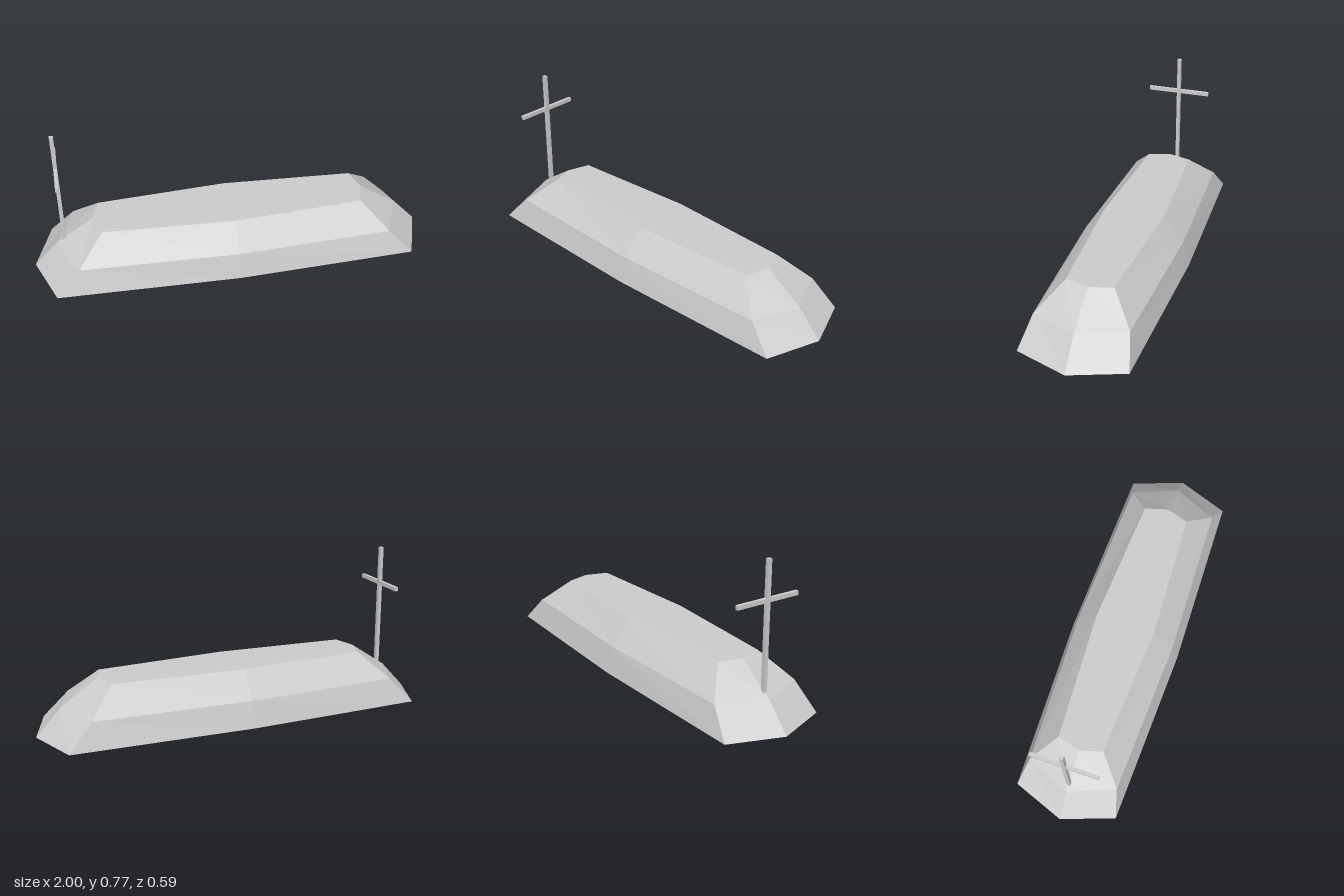
import * as THREE from 'three';

// One octagonal outline: pointed ends, square-ish shoulders, slightly bowed sides
function ring(y, endX, shoulderX, shoulderZ, midZ) {
  return [
    [endX, 0], [shoulderX, shoulderZ], [0, midZ], [-shoulderX, shoulderZ],
    [-endX, 0], [-shoulderX, -shoulderZ], [0, -midZ], [shoulderX, -shoulderZ],
  ].map(([x, z]) => [x, y, z]);
}

// Skin stacked rings into a closed faceted solid
function loft(rings) {
  const pos = [];
  const tri = (a, b, c) => pos.push(...a, ...b, ...c);
  const n = rings[0].length;
  for (let r = 0; r < rings.length - 1; r++) {
    const lo = rings[r], hi = rings[r + 1];
    for (let i = 0; i < n; i++) {
      const j = (i + 1) % n;
      tri(lo[i], hi[i], hi[j]);
      tri(lo[i], hi[j], lo[j]);
    }
  }
  const bottom = rings[0], top = rings[rings.length - 1];
  for (let i = 1; i < n - 1; i++) {
    tri(bottom[0], bottom[i], bottom[i + 1]);
    tri(top[0], top[i + 1], top[i]);
  }
  const geo = new THREE.BufferGeometry();
  geo.setAttribute('position', new THREE.Float32BufferAttribute(pos, 3));
  geo.computeVertexNormals();
  return geo;
}

export function createModel() {
  const group = new THREE.Group();
  group.name = 'graveMound';
  const stone = new THREE.MeshStandardMaterial({ color: 0xcccccc, flatShading: true });
  stone.name = 'light grey';

  const add = (name, geo, x = 0, y = 0, z = 0, parent = group) => {
    const mesh = new THREE.Mesh(geo, stone);
    mesh.name = name;
    mesh.position.set(x, y, z);
    parent.add(mesh);
  };

  // Mound: steep lower band, shallower upper band, flat top
  add('mound', loft([
    ring(0, 1, 0.905, 0.265, 0.293),
    ring(0.13, 0.88, 0.785, 0.23, 0.259),
    ring(0.258, 0.69, 0.655, 0.116, 0.154),
  ]));

  // Cross standing on the -x end
  const cross = new THREE.Group();
  cross.name = 'cross';
  cross.position.x = -0.84;
  group.add(cross);
  const base = 0.13, tip = 0.77;
  add('post', new THREE.BoxGeometry(0.019, tip - base, 0.019), 0, (base + tip) / 2, 0, cross);
  add('crossbar', new THREE.BoxGeometry(0.017, 0.02, 0.336), 0, 0.583, 0, cross);

  return group;
}
